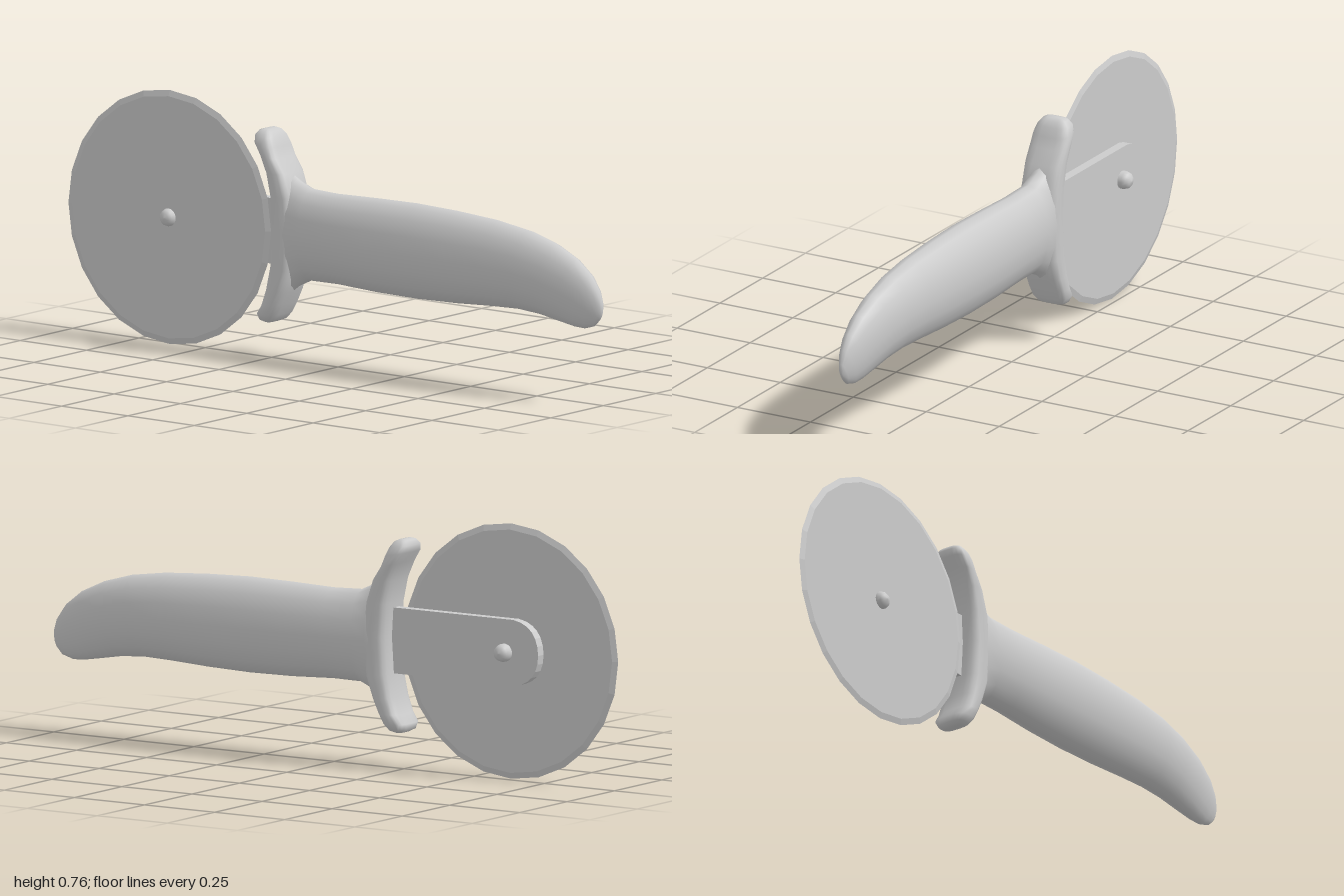
import * as THREE from 'three';

const material = () => new THREE.MeshStandardMaterial({ color: 0xcccccc });
const AXLE = [-0.618, 0.387];

// Closed loft through rings [px, py, qx, qy, halfWidth]: P and Q are opposite
// points of the section in the xy plane, halfWidth its reach in z.
function loft(rings, sides, power) {
  const pos = [], index = [];
  const round = (v) => Math.sign(v) * Math.abs(v) ** power;
  for (const [px, py, qx, qy, w] of rings) {
    for (let i = 0; i < sides; i++) {
      const a = (i / sides) * Math.PI * 2;
      const c = round(Math.cos(a)) / 2;
      pos.push((px + qx) / 2 + (px - qx) * c, (py + qy) / 2 + (py - qy) * c, w * round(Math.sin(a)));
    }
  }
  for (let r = 0; r < rings.length - 1; r++) {
    for (let i = 0; i < sides; i++) {
      const j = (i + 1) % sides, a = r * sides, b = a + sides;
      index.push(a + i, a + j, b + j, a + i, b + j, b + i);
    }
  }
  // End caps
  for (const r of [0, rings.length - 1]) {
    const [px, py, qx, qy] = rings[r], centre = pos.length / 3, a = r * sides;
    pos.push((px + qx) / 2, (py + qy) / 2, 0);
    for (let i = 0; i < sides; i++) {
      const j = (i + 1) % sides;
      if (r === 0) index.push(centre, a + j, a + i);
      else index.push(centre, a + i, a + j);
    }
  }
  const geo = new THREE.BufferGeometry();
  geo.setAttribute('position', new THREE.Float32BufferAttribute(pos, 3));
  geo.setIndex(index);
  geo.computeVertexNormals();
  return geo;
}

export function createModel() {
  const group = new THREE.Group();
  const add = (name, geo, mat = material()) => {
    const mesh = new THREE.Mesh(geo, mat);
    mesh.name = name;
    group.add(mesh);
    return mesh;
  };

  // Handle: flares into the guard, droops and tapers at the far end
  add('handle', loft([
    [-0.205, 0.61, -0.2, 0.18, 0.05],
    [-0.18, 0.578, -0.175, 0.208, 0.06],
    [-0.15, 0.552, -0.145, 0.232, 0.064],
    [-0.1, 0.53, -0.1, 0.253, 0.068],
    [0, 0.526, 0, 0.254, 0.073],
    [0.15, 0.53, 0.15, 0.247, 0.078],
    [0.3, 0.532, 0.3, 0.245, 0.08],
    [0.45, 0.527, 0.45, 0.249, 0.078],
    [0.6, 0.517, 0.58, 0.256, 0.073],
    [0.72, 0.5, 0.68, 0.259, 0.067],
    [0.82, 0.472, 0.76, 0.253, 0.058],
    [0.9, 0.435, 0.83, 0.241, 0.048],
    [0.955, 0.392, 0.89, 0.231, 0.037],
    [0.985, 0.35, 0.93, 0.229, 0.026],
    [0.998, 0.31, 0.965, 0.239, 0.014],
    [0.997, 0.285, 0.985, 0.258, 0.005],
  ], 16, 1));

  // Finger guard: crescent hollowed towards the blade
  add('guard', loft([
    [-0.255, 0.115, -0.232, 0.116, 0.03],
    [-0.272, 0.124, -0.217, 0.122, 0.047],
    [-0.276, 0.143, -0.2, 0.142, 0.059],
    [-0.255, 0.17, -0.185, 0.175, 0.063],
    [-0.238, 0.22, -0.165, 0.215, 0.063],
    [-0.224, 0.29, -0.14, 0.28, 0.063],
    [-0.217, 0.4, -0.13, 0.4, 0.063],
    [-0.223, 0.5, -0.14, 0.5, 0.063],
    [-0.237, 0.57, -0.165, 0.57, 0.063],
    [-0.26, 0.625, -0.195, 0.612, 0.063],
    [-0.283, 0.658, -0.207, 0.645, 0.061],
    [-0.286, 0.678, -0.22, 0.672, 0.053],
    [-0.276, 0.692, -0.232, 0.688, 0.04],
    [-0.262, 0.696, -0.245, 0.694, 0.025],
  ], 20, 0.65));

  // Cutting wheel with a bevelled rim
  const rim = [[0, -0.006], [0.364, -0.006], [0.382, 0], [0.364, 0.006], [0, 0.006]];
  const wheelMaterial = material();
  wheelMaterial.flatShading = true;
  const wheel = add('cuttingWheel', new THREE.LatheGeometry(rim.map(([x, y]) => new THREE.Vector2(x, y)), 24), wheelMaterial);
  wheel.rotation.x = Math.PI / 2;
  wheel.position.set(...AXLE, 0.02);

  // Arm behind the wheel, rounded at the axle
  const arm = new THREE.Shape();
  arm.moveTo(-0.17, 0.29);
  arm.lineTo(-0.17, 0.487);
  arm.lineTo(-0.65, 0.487);
  arm.quadraticCurveTo(-0.735, 0.475, -0.738, 0.387);
  arm.quadraticCurveTo(-0.735, 0.3, -0.65, 0.29);
  const armMesh = add('arm', new THREE.ExtrudeGeometry(arm, { depth: 0.029, bevelEnabled: false, curveSegments: 6 }));
  armMesh.position.z = -0.015;

  // Axle pin with domed heads
  const pin = [[0, -0.05], [0.014, -0.047], [0.023, -0.039], [0.027, -0.027],
    [0.027, 0.027], [0.023, 0.039], [0.014, 0.047], [0, 0.05]];
  const pinMesh = add('axlePin', new THREE.LatheGeometry(pin.map(([x, y]) => new THREE.Vector2(x, y)), 16));
  pinMesh.rotation.x = Math.PI / 2;
  pinMesh.position.set(...AXLE, 0);

  return group;
}
